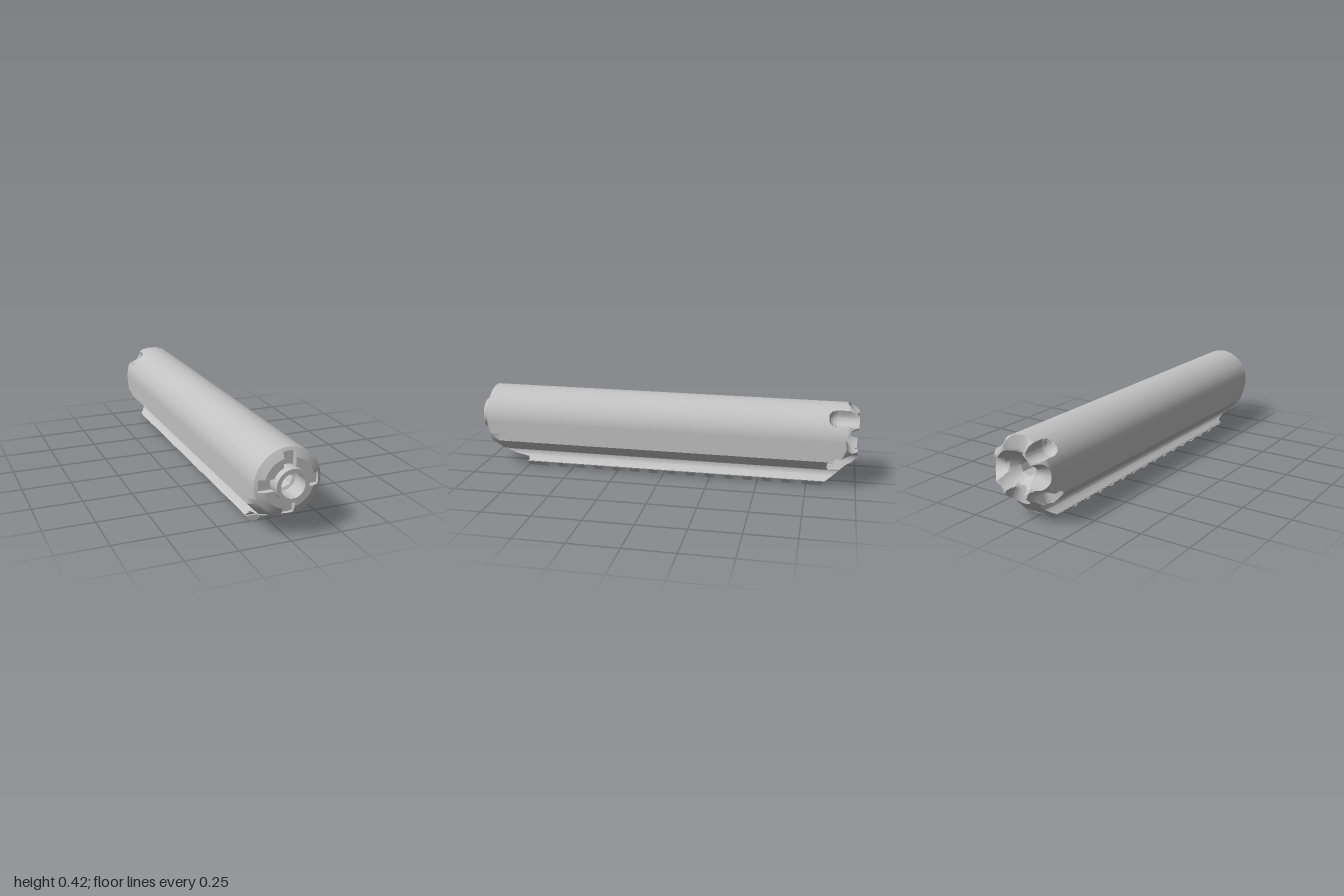
import * as THREE from 'three';
import { toCreasedNormals } from 'three/addons/utils/BufferGeometryUtils.js';

const CY = 0.262; // height of the bore axis
const metal = new THREE.MeshStandardMaterial({ color: 0xc2c2c2, side: THREE.DoubleSide });
metal.name = 'light grey metal';

// Mirror a right-hand half outline (bottom centre to top centre) and subdivide it
function outline(half, step) {
  const inner = half.filter((p) => p[0] > 0);
  const left = inner.map(([x, y]) => [-x, y]).reverse();
  const top = half[half.length - 1];
  const pts = [half[0], ...inner, ...(top[0] === 0 ? [top] : []), ...left];
  const out = [];
  pts.forEach((p, i) => {
    const q = pts[(i + 1) % pts.length];
    const n = Math.max(1, Math.ceil(Math.hypot(q[0] - p[0], q[1] - p[1]) / step));
    for (let k = 0; k < n; k++) {
      out.push([p[0] + ((q[0] - p[0]) * k) / n, p[1] + ((q[1] - p[1]) * k) / n]);
    }
  });
  return out;
}

// Skin a grid of points: rows[j][i]
function skin(rows, closed, crease) {
  const n = rows[0].length, m = rows.length, index = [];
  const end = closed ? 0 : 1;
  for (let j = 0; j < m - end; j++) {
    for (let i = 0; i < n - end; i++) {
      const j2 = (j + 1) % m, i2 = (i + 1) % n;
      const a = j * n + i, b = j2 * n + i, c = j2 * n + i2, d = j * n + i2;
      index.push(a, b, c, a, c, d);
    }
  }
  const g = new THREE.BufferGeometry();
  g.setAttribute('position', new THREE.Float32BufferAttribute(rows.flat(2), 3));
  g.setIndex(index);
  return toCreasedNormals(g, crease);
}

// Turned envelope: greatest radius allowed at each z, front to rear
const envelope = [[0.945, 0.161], [0.92, 0.175], [0.88, 0.195], [0.82, 0.215], [0.75, 0.228], [0.74, 0.3],
  [-0.8, 0.3], [-0.82, 0.28], [-0.85, 0.25], [-0.9, 0.205], [-0.945, 0.163], [-0.975, 0.147], [-1, 0.126]];
function maxRadius(z) {
  for (let k = 1; k < envelope.length; k++) {
    const [z0, r0] = envelope[k - 1], [z1, r1] = envelope[k];
    if (z >= z1) return r0 + ((r1 - r0) * (z0 - z)) / (z0 - z1);
  }
  return 0.126;
}

// Four diagonal flutes with rounded ends, cut along the rear
function flute(angle, z) {
  const s = Math.min(1, Math.max(0, (-0.85 - z) / 0.045));
  const a = 0.043 * Math.sqrt(1 - (1 - s) ** 2), rho = 0.157;
  const quarter = Math.PI / 2;
  const delta = (((angle % quarter) + quarter) % quarter) - quarter / 2;
  const h = a * a - (rho * Math.sin(delta)) ** 2;
  return h > 0 ? rho * Math.cos(delta) - Math.sqrt(h) : Infinity;
}

// Four round notches across the rear rim
function notched(angle, z) {
  const t = 0.13 * Math.min(Math.abs(Math.cos(angle)), Math.abs(Math.sin(angle)));
  return Math.max(z, -1 + Math.sqrt(Math.max(0, 0.06 ** 2 - t * t)));
}

// Eight-sided bore radius
function octagon(angle) {
  const side = Math.PI / 4;
  return 0.0445 / Math.cos((((angle % side) + side) % side) - side / 2);
}

// Trim a rail point to radius r, keeping the waist between rail and barrel
function trimRail(x, y, r) {
  const lift = (u) => Math.max(y, CY - Math.sqrt(r * r - u * u));
  const w = Math.min(Math.abs(x), Math.max(0.075, 0.139 - lift(x)));
  return [Math.sign(x) * w, lift(w)];
}

function bodyGeometry() {
  const half = [[0, 0.027], [0.105, 0.027], [0.107, 0.032], [0.086, 0.05], [0.076, 0.062], [0.073, 0.078],
    [0.076, 0.09], [0.085, 0.095], [0.105, 0.095], [0.161, 0.155]];
  for (let k = 0; k <= 24; k++) {
    const a = (k / 24) * Math.PI / 2;
    half.push([k === 24 ? 0 : 0.161 * Math.cos(a), CY + 0.161 * Math.sin(a)]);
  }
  const profile = outline(half, 0.006);

  // Rows: slot floor and rim, outer skin, rear dish, bore, front nozzle
  const spec = [[0.935, 0.147], [0.952, 0.147]];
  envelope.slice(0, 7).forEach(([z]) => spec.push([z]));
  for (let k = 0; k <= 36; k++) spec.push([-0.82 - k * 0.005]);
  spec.push([-1, 0.108], [-0.985, 0.103], [-0.965, 0.093], [-0.94, 0.077], [-0.915, 0.058], [-0.9, octagon],
    [0.9, octagon], [0.905, 0.059], [1, 0.059], [1, 0.079], [0.935, 0.079]);
  const rows = spec.map(([z0, fixed]) => profile.map(([x, y]) => {
    const angle = Math.atan2(y - CY, x), r0 = Math.hypot(x, y - CY);
    const z = z0 < -0.9 ? notched(angle, z0) : z0;
    const limit = maxRadius(z);
    if (!fixed && y < 0.094 && limit > 0.165) return [...trimRail(x, y, limit), z];
    const r = fixed === octagon ? octagon(angle) : fixed ?? Math.min(r0, limit, flute(angle, z));
    return [(x * r) / r0, CY + ((y - CY) * r) / r0, z];
  }));
  return skin(rows, true, 0.55);
}

// Raised bevelled face between two neighbouring slots
function frontPad(turn) {
  const rings = [[0.149, 0.951], [0.12, 0.965], [0.079, 0.965]];
  const rows = rings.map(([r, z]) => {
    const edge = Math.asin(0.029 / r), row = [];
    for (let k = -1; k <= 13; k++) {
      const u = Math.min(12, Math.max(0, k)) / 12;
      const a = turn + edge + u * (Math.PI / 2 - 2 * edge);
      row.push([r * Math.cos(a), CY + r * Math.sin(a), k < 0 || k > 12 ? 0.935 : z]);
    }
    return row;
  });
  return skin(rows.reverse(), false, 0.4);
}

// Solid prism of a cross-section between two z values
function prism(points, z0, z1) {
  const shape = new THREE.Shape(points.map(([x, y]) => new THREE.Vector2(x, y)));
  const g = new THREE.ExtrudeGeometry(shape, { depth: z1 - z0, bevelEnabled: false, steps: 4 });
  return g.translate(0, 0, z0);
}

export function createModel() {
  const group = new THREE.Group();
  const add = (name, geometry) => {
    const mesh = new THREE.Mesh(geometry, metal);
    mesh.name = name;
    group.add(mesh);
  };

  add('body', bodyGeometry());
  for (let k = 0; k < 4; k++) add('frontPad', frontPad((k * Math.PI) / 2));

  // Two rows of rail teeth, with a longer pair at the front
  const tooth = [[0.035, 0.029], [0.036, 0.014], [0.053, 0], [0.08, 0], [0.107, 0.029]];
  const mirrored = tooth.map(([x, y]) => [-x, y]).reverse();
  const spans = [[0.64, 0.75]];
  for (let k = 0; k < 13; k++) spans.push([0.533 - k * 0.1005, 0.579 - k * 0.1005]);
  for (const [z0, z1] of spans) {
    add('railTooth', prism(tooth, z0, z1));
    add('railTooth', prism(mirrored, z0, z1));
  }

  // Rear rail block with two arched grooves, its end ramped upward
  const half = [[0, 0], [0.009, 0], [0.018, 0.011], [0.03, 0.015], [0.042, 0.011], [0.053, 0], [0.08, 0], [0.107, 0.029]];
  const block = prism(outline(half, 1), -0.86, -0.73);
  const p = block.attributes.position;
  for (let i = 0; i < p.count; i++) {
    p.setXY(i, ...trimRail(p.getX(i), p.getY(i), maxRadius(p.getZ(i))));
  }
  block.computeVertexNormals();
  add('rearRailBlock', block);

  return group;
}
